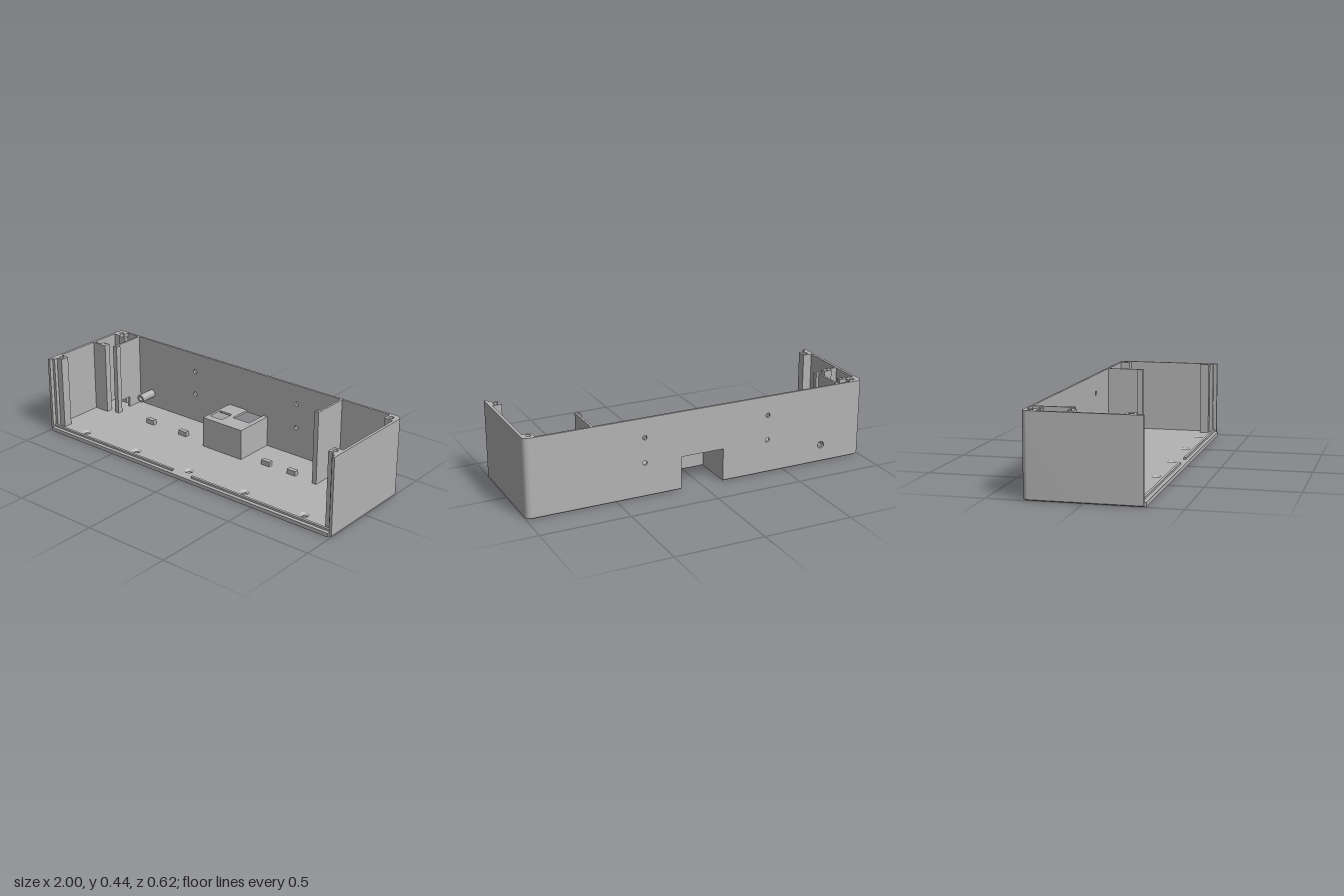
import * as THREE from 'three';
import { toCreasedNormals } from 'three/addons/utils/BufferGeometryUtils.js';

const H = 0.445, FLOOR = 0.022, BACK = -0.311, INNER = -0.298;

export function createModel() {
  const group = new THREE.Group();
  const grey = new THREE.MeshStandardMaterial({ color: 0xb3b3b3, side: THREE.DoubleSide });
  grey.name = 'plainGrey';

  const add = (name, geo) => {
    const m = new THREE.Mesh(geo, grey);
    m.name = name;
    group.add(m);
    return m;
  };
  const box = (name, x0, x1, y0, y1, z0, z1) =>
    add(name, new THREE.BoxGeometry(x1 - x0, y1 - y0, z1 - z0)
      .translate((x0 + x1) / 2, (y0 + y1) / 2, (z0 + z1) / 2));
  const poly = pts => new THREE.Shape(pts.map(p => new THREE.Vector2(...p)));
  const rect = (x0, x1, y0, y1) => poly([[x0, y0], [x1, y0], [x1, y1], [x0, y1]]);
  const round = (shape, x, y, r) =>
    shape.holes.push(new THREE.Path().absarc(x, y, r, 0, Math.PI * 2, true));
  // Extrudes an x-z plan between two heights
  const planGeo = (shape, y0, y1, steps = 1) =>
    new THREE.ExtrudeGeometry(shape, { depth: y1 - y0, steps, bevelEnabled: false, curveSegments: 16 })
      .rotateX(Math.PI / 2).translate(0, y1, 0);
  const plan = (name, shape, y0, y1) => add(name, toCreasedNormals(planGeo(shape, y0, y1), 0.5));
  // Quarter circle of the rear corner, from the side to the back
  const corner = (s, r, x = 0.97, z = -0.281) => Array.from({ length: 9 }, (_, i) => {
    const a = i / 8 * Math.PI / 2;
    return [s * (x + r * Math.cos(a)), z - r * Math.sin(a)];
  });

  // Floor plan with a recess at the back
  const screwX = [-0.78, -0.39, 0, 0.39, 0.78];
  const floorShape = screwR => {
    const s = poly([[-1, 0.3], [1, 0.3], ...corner(1, 0.03),
      [0.123, BACK], [0.123, -0.072], [-0.128, -0.072], [-0.128, BACK],
      ...corner(-1, 0.03).reverse()]);
    screwX.forEach(x => round(s, x, 0.225, screwR));
    return s;
  };

  // Lower floor layer: foot recesses and a chamfered rim
  const lower = floorShape(0.012);
  for (const x of [-0.945, 0.945]) for (const z of [-0.258, 0.245]) round(lower, x, z, 0.042);
  const lowerGeo = planGeo(lower, 0, 0.011, 2);
  const p = lowerGeo.attributes.position;
  for (let i = 0; i < p.count; i++) {
    if (p.getY(i) < 0.001) {
      p.setX(i, p.getX(i) * 0.994);
      p.setZ(i, 0.3 + (p.getZ(i) - 0.3) * 0.99);
    }
  }
  add('floorBottom', toCreasedNormals(lowerGeo, 0.5));
  plan('floorTop', floorShape(0.028), 0.011, FLOOR);

  // Countersinks of the floor screws
  screwX.forEach(x => add('countersink', new THREE.LatheGeometry(
    [new THREE.Vector2(0.012, 0.011), new THREE.Vector2(0.028, FLOOR)], 32).translate(x, 0, 0.225)));

  // Front lip and cover ridges
  box('frontLip', -0.985, 0.985, 0, FLOOR, 0.3, 0.311);
  for (const s of [-1, 1]) {
    const a = s * 0.068, b = s * 0.984;
    box('floorRidge', Math.min(a, b), Math.max(a, b), FLOOR, 0.033, 0.276, 0.29);
  }

  // Side walls with rounded rear corners, cover guides and corner posts
  for (const s of [-1, 1]) {
    plan('sideWall', poly([[s, 0.3], ...corner(s, 0.03), [s * 0.97, INNER],
      [s * 0.979, -0.294], [s * 0.984, -0.285], [s * 0.984, 0.3]]), FLOOR, H);
    plan('coverGuide', rect(s * 0.968, s * 0.985, 0.255, 0.278), FLOOR, H);
    for (const [z0, z1] of [[-0.299, -0.245], [0.205, 0.257]]) {
      const post = rect(s * 0.932, s * 0.985, z0, z1);
      round(post, s * 0.957, (z0 + z1) / 2, 0.014);
      plan('cornerPost', post, FLOOR, H);
    }
  }

  // Back wall with mounting holes and an opening for the recess
  const back = poly([[-0.97, FLOOR], [-0.128, FLOOR], [-0.128, 0.188], [0.123, 0.188],
    [0.123, FLOOR], [0.97, FLOOR], [0.97, H], [-0.97, H]]);
  for (const x of [-0.4, 0.335]) for (const y of [0.192, 0.335]) round(back, x, y, 0.013);
  round(back, -0.745, 0.1, 0.02);
  add('backWall', toCreasedNormals(new THREE.ExtrudeGeometry(back,
    { depth: INNER - BACK, bevelEnabled: false, curveSegments: 16 }), 0.5).translate(0, 0, BACK));

  // Hollow tube on the back wall
  const ring = new THREE.Shape().absarc(0, 0, 0.024, 0, Math.PI * 2);
  round(ring, 0, 0, 0.012);
  add('backTube', toCreasedNormals(new THREE.ExtrudeGeometry(ring,
    { depth: 0.104, bevelEnabled: false, curveSegments: 16 }), 0.5).translate(-0.745, 0.1, -0.299));

  // Recess housing, open below and behind, with two windows in its roof
  box('recessFront', -0.14, 0.135, FLOOR, 0.188, -0.072, -0.06);
  box('recessRightSide', -0.14, -0.128, FLOOR, 0.188, INNER, -0.072);
  box('recessLeftSide', 0.123, 0.135, FLOOR, 0.188, INNER, -0.072);
  const roof = rect(-0.14, 0.135, INNER, -0.06);
  roof.holes.push(rect(-0.01, 0.106, -0.297, -0.167), rect(-0.125, -0.039, -0.194, -0.104));
  plan('recessRoof', roof, 0.188, 0.2);

  // Small locating blocks on the floor
  for (const x of [-0.573, -0.322, 0.284, 0.46])
    box('locatingBlock', x - 0.028, x + 0.028, FLOOR, 0.05, -0.115, -0.088);

  // Partitions, the right one with a cable opening at its foot
  box('leftPartition', 0.62, 0.632, FLOOR, H, INNER, -0.085);
  box('rightPartitionRear', -0.85, -0.838, FLOOR, H, INNER, -0.2);
  box('rightPartitionFront', -0.85, -0.838, FLOOR, H, -0.125, -0.085);
  box('rightPartitionUpper', -0.85, -0.838, 0.085, H, -0.2, -0.125);

  // Drilled upright with a small screw hole
  const upright = (name, x0, x1, z0, z1) => {
    const s = rect(x0, x1, z0, z1);
    round(s, (x0 + x1) / 2, (z0 + z1) / 2, 0.006);
    plan(name, s, FLOOR, H);
  };
  upright('leftPartitionEnd', 0.604, 0.632, -0.115, -0.083);
  upright('rightPartitionEnd', -0.85, -0.822, -0.115, -0.083);

  // Brackets reaching in from the right wall
  box('rearBracketArm', -0.985, -0.93, FLOOR, H, -0.25, -0.238);
  upright('rearBracketEnd', -0.935, -0.89, -0.252, -0.226);
  box('frontBracketArm', -0.985, -0.89, FLOOR, H, -0.07, -0.058);
  upright('frontBracketEnd', -0.935, -0.89, -0.095, -0.069);

  return group;
}
